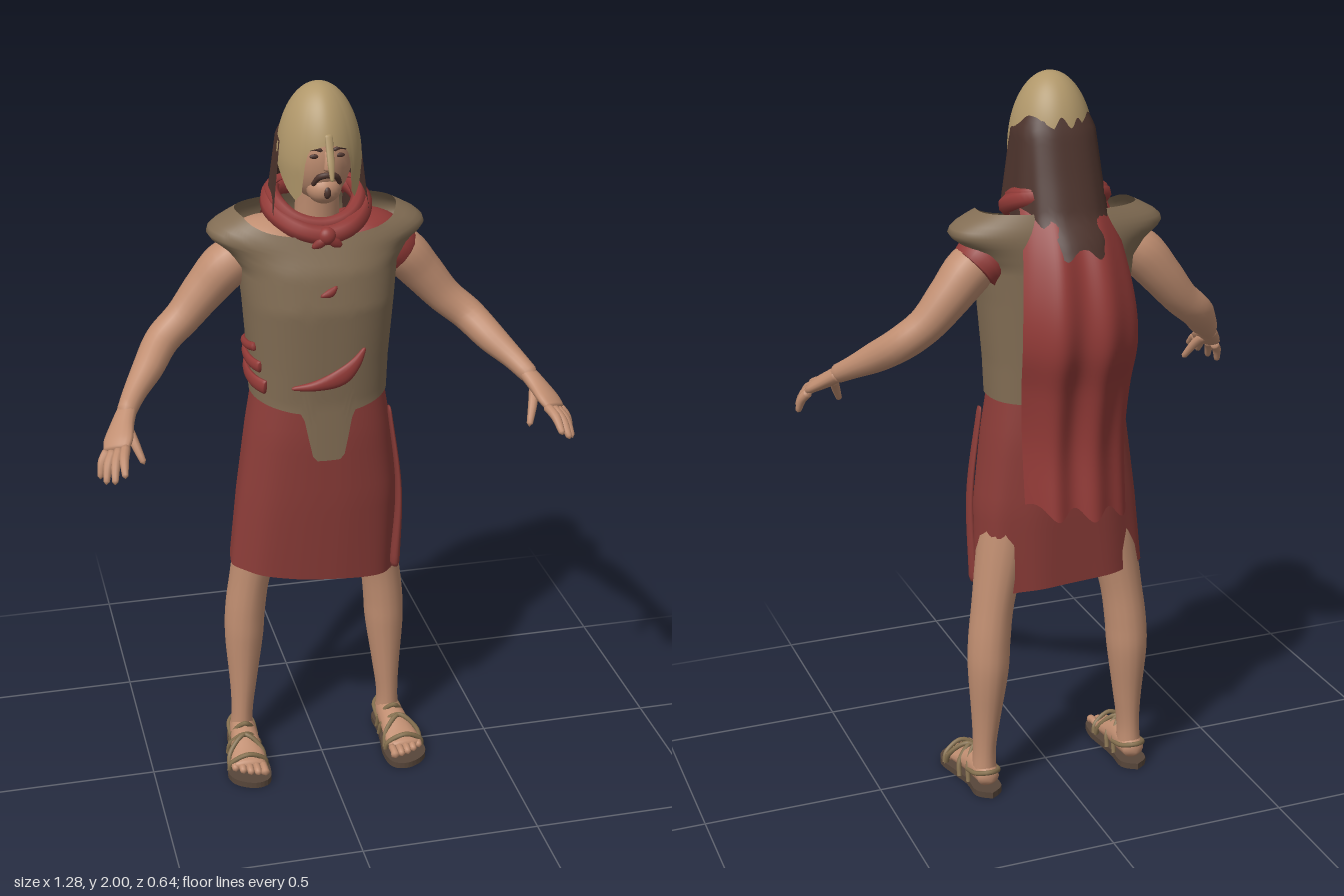
import * as THREE from 'three';
import { mergeVertices } from 'three/addons/utils/BufferGeometryUtils.js';

const V = (x, y, z) => new THREE.Vector3(x, y, z);
const mat = (name, color) => new THREE.MeshStandardMaterial({ name, color, side: THREE.DoubleSide });

// Smooth surface over u, v in 0..1
function grid(fn, nu, nv) {
  const pos = [], idx = [];
  for (let j = 0; j <= nv; j++) for (let i = 0; i <= nu; i++) pos.push(...fn(i / nu, j / nv));
  for (let j = 0; j < nv; j++) for (let i = 0; i < nu; i++) {
    const a = j * (nu + 1) + i, d = a + nu + 1;
    idx.push(a, a + 1, d, a + 1, d + 1, d);
  }
  let g = new THREE.BufferGeometry();
  g.setAttribute('position', new THREE.Float32BufferAttribute(pos, 3));
  g.setIndex(idx);
  g = mergeVertices(g, 1e-5);
  g.computeVertexNormals();
  return g;
}

// Linear lookup in rows of [key, ...values], keys ascending
const table = rows => k => {
  let i = 0;
  while (i < rows.length - 2 && k > rows[i + 1][0]) i++;
  const [p, q] = [rows[i], rows[i + 1]];
  const t = THREE.MathUtils.clamp((k - p[0]) / (q[0] - p[0]), 0, 1);
  return p.slice(1).map((v, n) => v + (q[n + 1] - v) * t);
};

// Point on a rounded outline: half width a, front f, back b; angle 0 faces the front
function outline(th, a, f, b, n = 2) {
  const p = v => Math.sign(v) * Math.abs(v) ** (2 / n);
  return [a * p(Math.sin(th)), (f + b) / 2 + (f - b) / 2 * p(Math.cos(th))];
}

// Rounded limb through rows of [x, y, z, r1, r2], mirrored by s
function limb(rows, { s = 1, ref = [0, 0, 1], sides = 16, steps = 24 } = {}) {
  const path = new THREE.CatmullRomCurve3(rows.map(r => V(s * r[0], r[1], r[2])));
  const rad = new THREE.CatmullRomCurve3(rows.map((r, i) => V(r[3], r[4] ?? r[3], i)));
  const R = V(s * ref[0], ref[1], ref[2]);
  return grid((u, v) => {
    const w = THREE.MathUtils.clamp((v - 0.06) / 0.88, 0, 1);
    const cap = v === 0 || v === 1 ? 0 : 1;
    const t = path.getTangent(w), c = path.getPoint(w), r = rad.getPoint(w);
    const n1 = R.clone().cross(t).normalize(), n2 = t.clone().cross(n1);
    const ang = u * Math.PI * 2, k = cap * (w === 0 || w === 1 ? 0.75 : 1);
    const bulge = (v === 0 ? -1 : v === 1 ? 1 : 0) * Math.min(r.x, r.y) * 0.5;
    c.addScaledVector(n1, Math.cos(ang) * r.x * k).addScaledVector(n2, Math.sin(ang) * r.y * k).addScaledVector(t, bulge);
    return c.toArray();
  }, sides, steps);
}

const tube = (pts, r, closed = false, n = 32) =>
  new THREE.TubeGeometry(new THREE.CatmullRomCurve3(pts.map(p => V(...p)), closed), n, r, 8, closed);
const ball = (x, y, z, a, b, c) => new THREE.SphereGeometry(1, 24, 16).scale(a, b, c).translate(x, y, z);

export function createModel() {
  const skin = mat('skin', 0xc08e71), leather = mat('leather', 0x826d54), cloth = mat('skirtRed', 0x8b3c38),
    red = mat('capeRed', 0x923a37), hair = mat('hair', 0x4c332c), bronze = mat('bronze', 0xb0976a),
    strapM = mat('strap', 0x85704f), soleM = mat('sole', 0x57463a);
  const root = new THREE.Group();
  const add = (name, geo, m, parent = root) => {
    const mesh = new THREE.Mesh(geo, m);
    mesh.name = name;
    parent.add(mesh);
    return mesh;
  };
  const TAU = Math.PI * 2, smooth = THREE.MathUtils.smoothstep;

  // Leather tunic with flared shoulders, open neck and front tab
  const torso = table([[0.98, 0.195, 0.088, -0.19], [1.15, 0.187, 0.084, -0.195], [1.25, 0.19, 0.092, -0.2],
    [1.42, 0.203, 0.105, -0.207], [1.52, 0.213, 0.09, -0.207], [1.565, 0.245, 0.07, -0.205],
    [1.6, 0.293, 0.055, -0.2], [1.625, 0.285, 0.045, -0.195], [1.645, 0.25, 0.035, -0.187], [1.662, 0.215, 0.025, -0.18]]);
  add('tunic', grid((u, v) => {
    const th = u * TAU, front = Math.max(0, Math.cos(th));
    const x0 = Math.abs(outline(th, 0.19, 0.08, -0.19, 2.4)[0]);
    const yb = 1.155 - (front > 0 ? 0.03 * (1 - (x0 / 0.19) ** 2) + 0.135 * (1 - smooth(x0, 0.035, 0.075)) : 0);
    const y = yb + (1.662 - 0.05 * front ** 3 - yb) * v;
    const [a, f, b] = torso(y), [x, z] = outline(th, a, f, b, 2.4);
    return [x, y, z];
  }, 112, 36), leather);

  // Wrapped skirt with slanting hem and soft folds
  const skirt = table([[0.57, 0.24, -0.02, 0.05, -0.17], [0.85, 0.226, -0.002, 0.068, -0.188], [1.05, 0.2, 0, 0.074, -0.19], [1.18, 0.178, 0, 0.066, -0.182]]);
  add('skirt', grid((u, v) => {
    const th = u * TAU, back = (1 - Math.cos(th)) / 2;
    const yb = 0.607 - 0.145 * Math.sin(th) * 0.24 * (1 - back * 0.5) + 0.02 * back;
    const y = yb + (1.18 - yb) * v, [a, cx, f, b] = skirt(y);
    const fold = 1 + 0.014 * (1 - v) * Math.sin(9 * th + 1);
    const [x, z] = outline(th, a * fold, f, b, 2.5);
    return [x + cx, y, z * fold];
  }, 96, 16), cloth);
  add('skirtOverlap', limb([[0.212, 0.6, 0.0, 0.014, 0.02], [0.216, 0.85, 0.015, 0.008, 0.02], [0.185, 1.1, 0.015, 0.005, 0.015]]), cloth);

  // Shoulders under the open neck, one bare and one covered
  add('rightShoulder', ball(-0.12, 1.575, -0.08, 0.12, 0.065, 0.095), skin);
  add('leftShoulder', ball(0.12, 1.575, -0.08, 0.12, 0.065, 0.095), red);
  add('leftUndersleeve', limb([[0.15, 1.56, -0.078, 0.075], [0.205, 1.53, -0.08, 0.076], [0.228, 1.51, -0.082, 0.07]]), red);

  for (const s of [1, -1]) {
    const side = s > 0 ? 'left' : 'right';
    // Arm and hand
    const arm = new THREE.Group();
    arm.name = side + 'Arm';
    root.add(arm);
    add('arm', limb([[0.17, 1.55, -0.075, 0.05], [0.235, 1.515, -0.08, 0.064], [0.295, 1.45, -0.085, 0.058], [0.36, 1.375, -0.078, 0.049],
      [0.42, 1.325, -0.055, 0.046], [0.47, 1.275, 0.01, 0.041], [0.515, 1.235, 0.07, 0.031], [0.55, 1.2, 0.13, 0.025]], { s, steps: 36 }), skin, arm);
    add('palm', limb([[0.54, 1.21, 0.11, 0.026, 0.022], [0.56, 1.185, 0.15, 0.033, 0.021], [0.578, 1.16, 0.195, 0.042, 0.018],
      [0.587, 1.145, 0.22, 0.037, 0.014]], { s, ref: [0.4, 0.79, 0.245] }), skin, arm);
    const fingers = [[0.563, 1.153, 0.225, 0.578, 1.11, 0.312], [0.58, 1.148, 0.225, 0.603, 1.09, 0.3],
      [0.595, 1.14, 0.215, 0.622, 1.078, 0.27], [0.608, 1.135, 0.2, 0.632, 1.075, 0.228], [0.55, 1.18, 0.15, 0.518, 1.1, 0.22]];
    fingers.forEach(([x, y, z, X, Y, Z], i) => add(i < 4 ? 'finger' : 'thumb', limb([[x, y, z, 0.013],
      [(x + X) / 2 + 0.003, (y + Y) / 2 + 0.008, (z + Z) / 2, 0.0125], [X, Y, Z, 0.008]], { s, ref: [1, 0, 0], sides: 10, steps: 10 }), skin, arm));

    // Leg
    add(side + 'Leg', limb([[0.222, 0.04, -0.092, 0.036, 0.042], [0.22, 0.12, -0.09, 0.031, 0.042], [0.215, 0.22, -0.092, 0.039, 0.05],
      [0.209, 0.37, -0.098, 0.055, 0.066], [0.204, 0.46, -0.096, 0.057, 0.068], [0.19, 0.57, -0.09, 0.057, 0.069],
      [0.16, 0.72, -0.08, 0.068, 0.078], [0.11, 0.95, -0.07, 0.08, 0.085]], { s, steps: 40 }), skin);

    // Foot, toes and sandal
    const foot = new THREE.Group();
    foot.name = side + 'Foot';
    root.add(foot);
    add('foot', limb([[0.222, 0.05, -0.135, 0.03, 0.027], [0.222, 0.06, -0.08, 0.037, 0.042], [0.225, 0.055, -0.02, 0.042, 0.038],
      [0.23, 0.043, 0.04, 0.05, 0.025], [0.233, 0.035, 0.085, 0.047, 0.016]], { s, ref: [0, 1, 0] }), skin, foot);
    for (let i = 0; i < 5; i++) {
      const x = 0.193 + i * 0.02, z = 0.122 - 0.0022 * i * i;
      add('toe', limb([[x, 0.036, z - 0.045, 0.011], [x, 0.036, z - 0.015, 0.011], [x, 0.03, z, i ? 0.009 : 0.013]],
        { s, ref: [0, 1, 0], sides: 10, steps: 8 }), skin, foot);
    }
    const shape = new THREE.Shape();
    shape.setFromPoints(new THREE.SplineCurve([[0.222, -0.162], [0.26, -0.13], [0.262, -0.06], [0.28, 0.01], [0.294, 0.075], [0.275, 0.12],
      [0.225, 0.146], [0.182, 0.13], [0.17, 0.07], [0.178, 0], [0.184, -0.06], [0.184, -0.13], [0.222, -0.162]]
      .map(([x, z]) => new THREE.Vector2(s * x, z))).getPoints(48).slice(0, -1));
    add('sole', new THREE.ExtrudeGeometry(shape, { depth: 0.018, bevelEnabled: false }).rotateX(Math.PI / 2).translate(0, 0.019, 0), soleM, foot);
    const straps = [[0.178, 0.06, 0.07, 0.075, 0.288, 0.06], [0.18, 0.05, 0.093, 0.005, 0.275, -0.03],
      [0.182, -0.03, 0.094, 0.005, 0.286, 0.055], [0.186, -0.07, 0.108, -0.03, 0.262, -0.07]];
    for (const [x, z, h, zm, X, Z] of straps) {
      const m = (x + X) / 2;
      add('strap', tube([[x, 0.015, z], [x + 0.006, h * 0.6, z * 0.6 + zm * 0.4], [m, h, zm], [X - 0.006, h * 0.6, Z * 0.6 + zm * 0.4], [X, 0.015, Z]]
        .map(p => [s * p[0], p[1], p[2]]), 0.007, false, 20), strapM, foot);
    }
    add('heelStrap', tube([[0.186, 0.05, -0.06], [0.19, 0.065, -0.12], [0.222, 0.075, -0.146], [0.254, 0.065, -0.12], [0.26, 0.05, -0.06]]
      .map(p => [s * p[0], p[1], p[2]]), 0.007, false, 20), strapM, foot);
  }

  // Head
  const head = new THREE.Group();
  head.name = 'head';
  root.add(head);
  add('neck', limb([[0, 1.54, -0.075, 0.075, 0.07], [0, 1.64, -0.06, 0.06, 0.06], [0, 1.77, -0.045, 0.058, 0.06]]), skin, head);
  add('face', ball(0, 1.82, -0.03, 0.085, 0.13, 0.1), skin, head);
  add('chin', ball(0, 1.738, 0.022, 0.046, 0.042, 0.046), skin, head);
  add('nose', limb([[0, 1.845, 0.064, 0.008], [0, 1.815, 0.075, 0.011], [0, 1.797, 0.077, 0.013, 0.01]], { sides: 10, steps: 10 }), skin, head);
  add('moustache', limb([[-0.036, 1.755, 0.052, 0.006], [-0.022, 1.778, 0.066, 0.008], [0, 1.784, 0.073, 0.008],
    [0.022, 1.778, 0.066, 0.008], [0.036, 1.755, 0.052, 0.006]], { ref: [0, 1, 0], sides: 8 }), hair, head);
  add('chinTuft', ball(0, 1.735, 0.06, 0.011, 0.017, 0.012), hair, head);
  for (const s of [1, -1]) {
    add('eye', ball(s * 0.033, 1.832, 0.061, 0.013, 0.006, 0.005), hair, head);
    add('eyebrow', limb([[0.015, 1.848, 0.068, 0.005], [0.035, 1.853, 0.063, 0.005], [0.052, 1.846, 0.052, 0.004]],
      { s, ref: [0, 1, 0], sides: 8, steps: 8 }), hair, head);
  }

  // Helmet with cheek guards and nose guard
  const rim = table([[0, 1.868], [0.48, 1.85], [0.57, 1.81], [0.66, 1.735], [0.85, 1.712], [1.1, 1.735], [1.55, 1.8], [1.95, 1.865], [Math.PI, 1.885]]);
  add('helmet', grid((u, v) => {
    const th = u * TAU, ab = Math.min(th, TAU - th);
    const yb = rim(ab)[0] + (ab > 1.95 ? 0.014 * Math.sin(13 * th) : 0);
    const y = yb + (2 - yb) * Math.sin(v * Math.PI / 2);
    const k = y > 1.8 ? Math.sqrt(Math.max(0, 1 - ((y - 1.8) / 0.2) ** 2)) : 1 - (1.8 - y) * 0.8;
    const [x, z] = outline(th, 0.111 * k, 0.118 * k, -0.122 * k);
    return [x, y, z - 0.034 + 0.008 * k * Math.max(0, Math.cos(th)) ** 8];
  }, 112, 28), bronze, head);
  add('noseGuard', limb([[0, 1.89, 0.076, 0.011, 0.005], [0, 1.86, 0.088, 0.01, 0.005], [0, 1.82, 0.105, 0.009, 0.005], [0, 1.782, 0.118, 0.005, 0.004]], { sides: 8 }), bronze, head);

  // Long hair falling over the cape
  const lock = table([[1.54, 0.125, -0.29], [1.6, 0.13, -0.26], [1.65, 0.13, -0.22], [1.75, 0.119, -0.185], [1.86, 0.107, -0.15], [1.94, 0.07, -0.105]]);
  add('hair', grid((u, v) => {
    const th = 1.35 + u * (TAU - 2.7), mid = Math.sin(u * Math.PI);
    const yb = 1.655 - 0.085 * smooth(mid, 0.2, 0.7) + 0.014 * Math.sin(u * 41);
    const y = yb + (1.94 - yb) * v, [a, b] = lock(y);
    const wave = 1 + 0.02 * (1 - v) * Math.sin(u * 45), [x, z] = outline(th, a * wave, -0.05 - (b + 0.05), b, 2.5);
    return [x, y, z];
  }, 64, 20), hair, head);

  // Cape
  const cape = new THREE.CatmullRomCurve3([[0.14, 0.87, -0.285], [0.142, 1.05, -0.268], [0.15, 1.2, -0.283], [0.158, 1.32, -0.313],
    [0.155, 1.42, -0.308], [0.14, 1.55, -0.268], [0.125, 1.65, -0.21], [0.115, 1.72, -0.14]].map(p => V(...p)));
  add('cape', grid((u, v) => {
    const p = cape.getPoint(v), k = 1 - u * 2;
    const fold = 0.011 * Math.sin(k * 8 + v * 2) * (1 - v * 0.6);
    return [k * p.x, p.y + (1 - v) ** 6 * (0.018 * Math.sin(k * 9) + 0.015 * k), p.z + 0.065 * k ** 4 + fold];
  }, 40, 40), red);

  // Scarf rolled around the neck, with knot and ends
  for (const [o, r] of [[0, 0.026], [0.022, 0.02]]) {
    add('scarf', tube([[0, 1.615 + o, 0.045 - o], [0.07, 1.63 + o, 0.028 - o], [0.122 - o / 2, 1.665 + o, -0.05], [0.1, 1.695 + o / 2, -0.13],
      [0, 1.7 + o / 2, -0.165], [-0.1, 1.695 + o / 2, -0.13], [-0.122 + o / 2, 1.665 + o, -0.05], [-0.07, 1.63 + o, 0.028 - o]], r, true, 64), red);
  }
  add('scarfKnot', ball(0, 1.618, 0.06, 0.024, 0.024, 0.02), red);
  for (const s of [1, -1]) add('scarfEnd', limb([[0, 1.615, 0.066, 0.01], [0.022, 1.6, 0.066, 0.013, 0.006], [0.038, 1.59, 0.06, 0.006]], { s, ref: [0, 0, 1], sides: 8, steps: 8 }), red);

  // Sash around the right side of the waist, joining the cape
  [[1.2, 1.23, 0.02], [1.255, 1.27, 0.016], [1.31, 1.25, 0.012]].forEach(([y0, y1, r], i) => {
    const rows = [];
    for (let k = 0; k <= 8; k++) {
      const th = -0.95 - i * 0.12 - k * 0.21, y = y0 + (y1 - y0) * k / 8, [a, f, b] = torso(y);
      const [x, z] = outline(th, a + 0.004, f + 0.004, b - 0.004, 2.4);
      rows.push([x, y, z, 0.009, r]);
    }
    add('sash', limb(rows, { ref: [0, 1, 0], sides: 10, steps: 32 }), red);
  });

  // Torn folds of cloth showing through the tunic front
  add('waistFold', limb([[-0.1, 1.21, 0.087, 0.005, 0.005], [-0.04, 1.215, 0.094, 0.014, 0.011], [0.03, 1.235, 0.096, 0.024, 0.011],
    [0.07, 1.27, 0.094, 0.016, 0.009], [0.095, 1.31, 0.092, 0.005, 0.005]]), red);
  add('chestFold', limb([[-0.025, 1.468, 0.1, 0.004, 0.004], [0, 1.477, 0.102, 0.012, 0.007], [0.018, 1.492, 0.098, 0.004, 0.004]], { sides: 8, steps: 10 }), red);
  return root;
}
